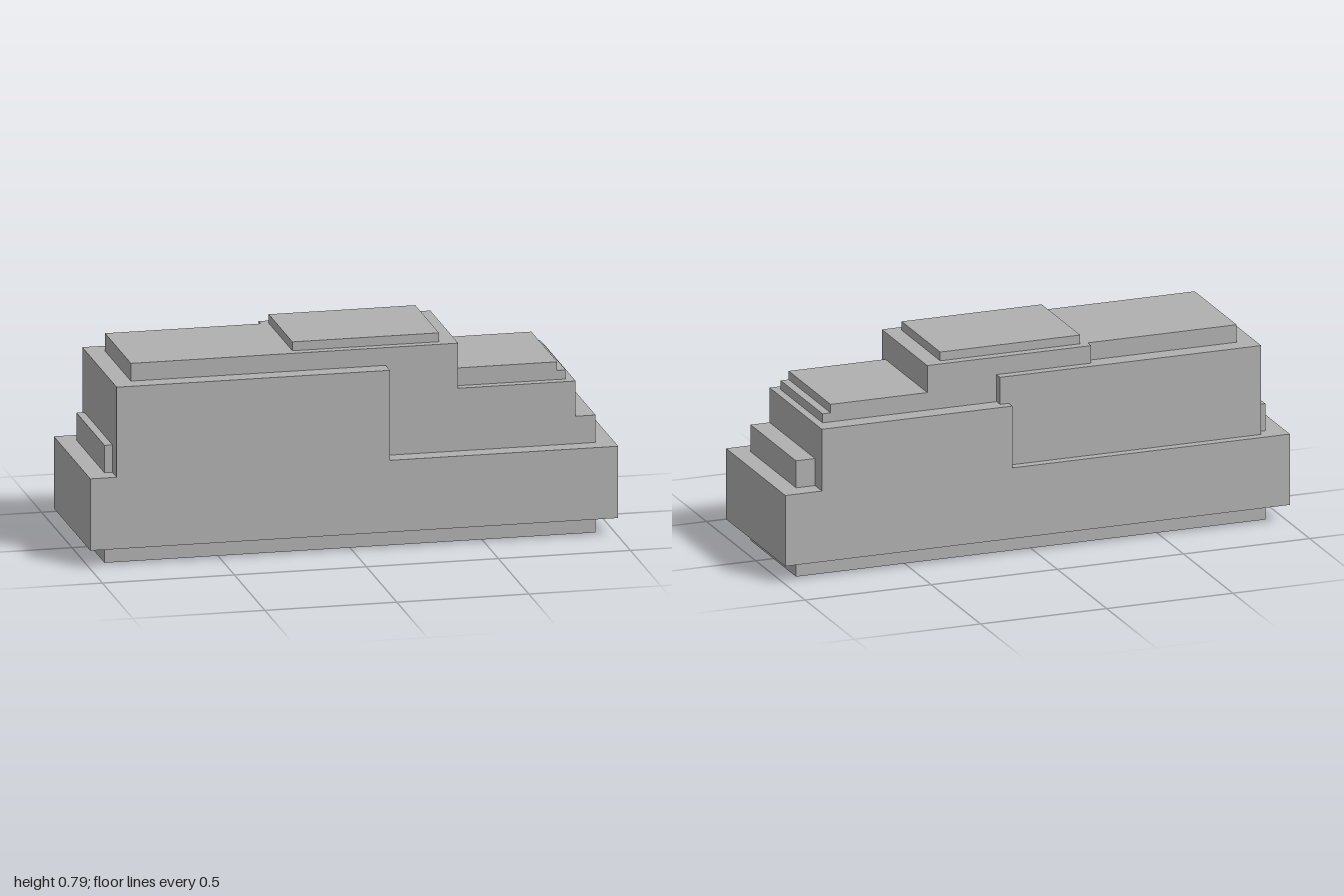
import * as THREE from 'three';

export function createModel() {
  const model = new THREE.Group();
  model.name = 'steppedBlockBuilding';
  const grey = new THREE.MeshStandardMaterial({ color: 0xb0b0b0 });
  grey.name = 'plain grey';

  // Box given by its lower and upper limits on each axis
  const block = (name, [x0, x1], [y0, y1], [z0, z1]) => {
    const mesh = new THREE.Mesh(new THREE.BoxGeometry(x1 - x0, y1 - y0, z1 - z0), grey);
    mesh.position.set((x0 + x1) / 2, (y0 + y1) / 2, (z0 + z1) / 2);
    mesh.name = name;
    model.add(mesh);
  };

  // Recessed foot and wide lower body
  block('foot', [-0.93, 0.93], [0, 0.07], [-0.23, 0.23]);
  block('lowerBody', [-1, 1], [0.07, 0.345], [-0.3, 0.3]);

  // Low ledges at both ends
  block('rightLedge', [-0.93, -0.9], [0.345, 0.45], [-0.23, 0.23]);
  block('leftLedge', [0.855, 0.93], [0.345, 0.45], [-0.23, 0.23]);

  // Two main upper masses, offset front to back
  block('tallMass', [-0.9, 0.135], [0.345, 0.69], [-0.265, 0.3]);
  block('lowMass', [0.1, 0.855], [0.345, 0.585], [-0.3, 0.23]);

  // Upper deck, slightly wider at the back over its left half
  block('upperDeck', [-0.83, -0.24], [0.69, 0.758], [-0.195, 0.23]);
  block('upperDeckWide', [-0.24, 0.41], [0.585, 0.758], [-0.23, 0.23]);
  block('roofPlate', [-0.21, 0.345], [0.758, 0.792], [-0.195, 0.195]);

  // Thin steps on the low mass
  block('lowerStep', [0.41, 0.825], [0.585, 0.62], [-0.23, 0.195]);
  block('upperStep', [0.41, 0.793], [0.62, 0.653], [-0.23, 0.195]);

  return model;
}
